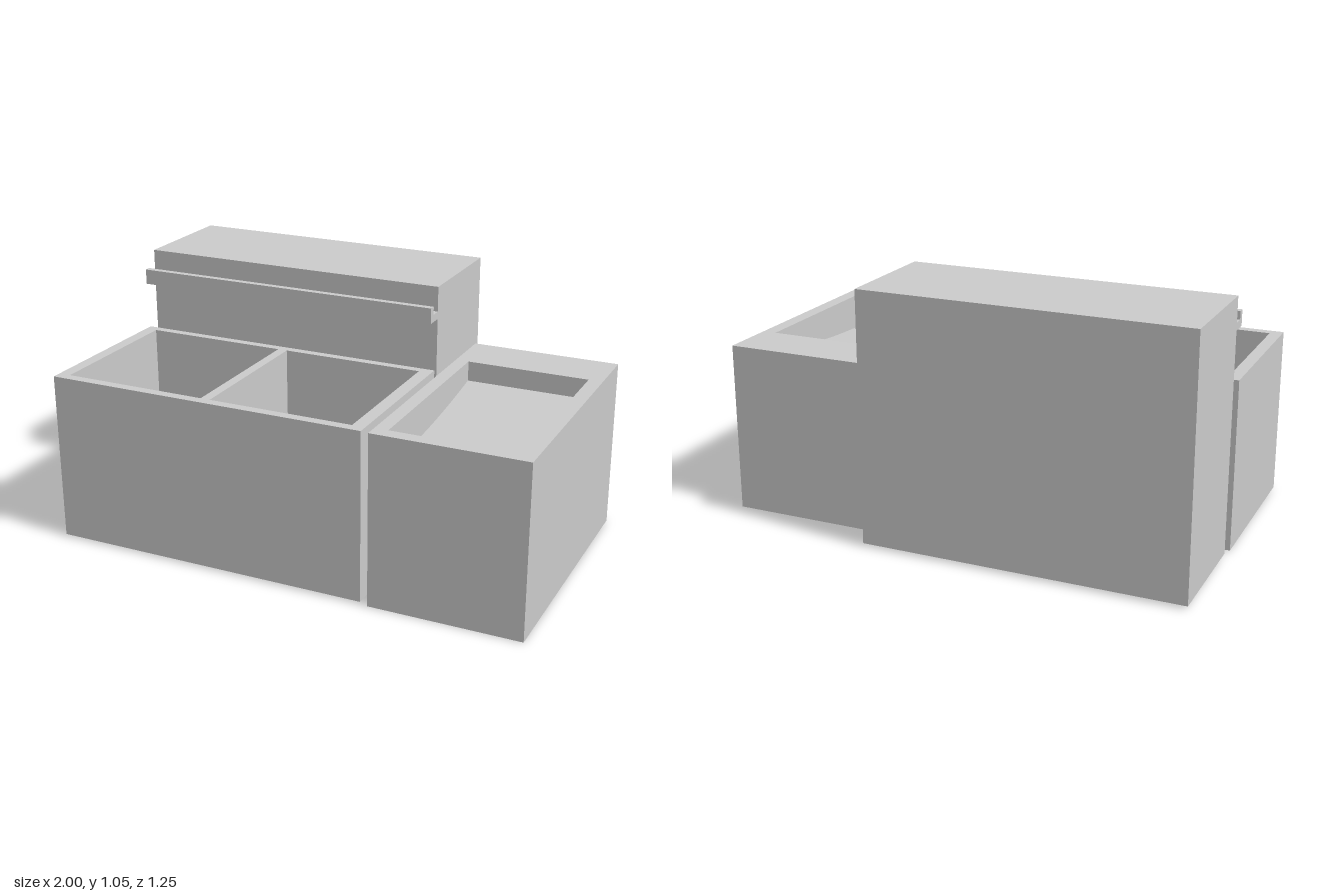
import * as THREE from 'three';
import { mergeGeometries } from 'three/addons/utils/BufferGeometryUtils.js';

const material = new THREE.MeshStandardMaterial({ color: 0xcccccc });

// Box between two corners
function boxBetween([x0, y0, z0], [x1, y1, z1], depthSegments = 1) {
  const g = new THREE.BoxGeometry(x1 - x0, y1 - y0, z1 - z0, 1, 1, depthSegments);
  return g.translate((x0 + x1) / 2, (y0 + y1) / 2, (z0 + z1) / 2);
}

// Remove the top face of a box; optionally turn it inside out
function openTop(g, inward = false) {
  const top = g.groups[2];
  const index = Array.from(g.index.array);
  index.splice(top.start, top.count);
  if (inward) index.reverse();
  g.setIndex(index);
  g.clearGroups();
  g.computeVertexNormals();
  return g;
}

function rectangle(path, x0, z0, x1, z1) {
  path.moveTo(x0, -z0);
  path.lineTo(x1, -z0);
  path.lineTo(x1, -z1);
  path.lineTo(x0, -z1);
  path.closePath();
  return path;
}

// Solid block with rectangular recesses sunk into its top;
// each recess gives its floor height as a function of t (0 back, 1 front)
function recessedBlock(name, min, max, recesses) {
  const rim = rectangle(new THREE.Shape(), min[0], min[2], max[0], max[2]);
  const parts = [openTop(boxBetween(min, max))];
  for (const { x0, x1, z0, z1, floor, segments } of recesses) {
    rim.holes.push(rectangle(new THREE.Path(), x0, z0, x1, z1));
    const inner = boxBetween([x0, 0, z0], [x1, max[1], z1], segments);
    const p = inner.attributes.position;
    for (let i = 0; i < p.count; i++) {
      if (p.getY(i) < max[1] / 2) p.setY(i, floor((p.getZ(i) - z0) / (z1 - z0)));
    }
    parts.push(openTop(inner, true));
  }
  parts.push(new THREE.ShapeGeometry(rim).rotateX(-Math.PI / 2).translate(0, max[1], 0));
  const mesh = new THREE.Mesh(mergeGeometries(parts), material);
  mesh.name = name;
  return mesh;
}

export function createModel() {
  const model = new THREE.Group();
  model.name = 'sinkUnit';

  // Front trough with two deep compartments
  const cells = [[-0.95, -0.345], [-0.305, 0.295]].map(([x0, x1]) => ({
    x0, x1, z0: -0.06, z1: 0.577, floor: () => 0.05, segments: 1,
  }));
  model.add(recessedBlock('doubleTrough', [-1, 0.008, -0.095], [0.348, 0.708, 0.617], cells));

  // Side block with a shallow basin, its floor easing down to the front
  model.add(recessedBlock('sideBasin', [0.38, 0, -0.485], [1, 0.708, 0.623], [{
    x0: 0.435, x1: 0.942, z0: -0.255, z1: 0.567, segments: 16,
    floor: (t) => 0.708 - 0.083 - 0.07 * (1 - (1 - t) ** 2),
  }]));

  // Tall block behind the trough
  const back = new THREE.Mesh(boxBetween([-0.99, 0.012, -0.623], [0.34, 1.046, -0.138]), material);
  back.name = 'backBlock';
  model.add(back);

  // L-shaped ledge along the front of the tall block
  const profile = new THREE.Shape([
    [-0.138, 0.912], [-0.066, 0.912], [-0.066, 0.976],
    [-0.093, 0.976], [-0.093, 0.943], [-0.138, 0.943],
  ].map(([z, y]) => new THREE.Vector2(-z, y)));
  const ledgeGeometry = new THREE.ExtrudeGeometry(profile, { depth: 1.33, bevelEnabled: false });
  ledgeGeometry.rotateY(Math.PI / 2).translate(-0.99, 0, 0);
  const ledge = new THREE.Mesh(ledgeGeometry, material);
  ledge.name = 'frontLedge';
  model.add(ledge);

  return model;
}
